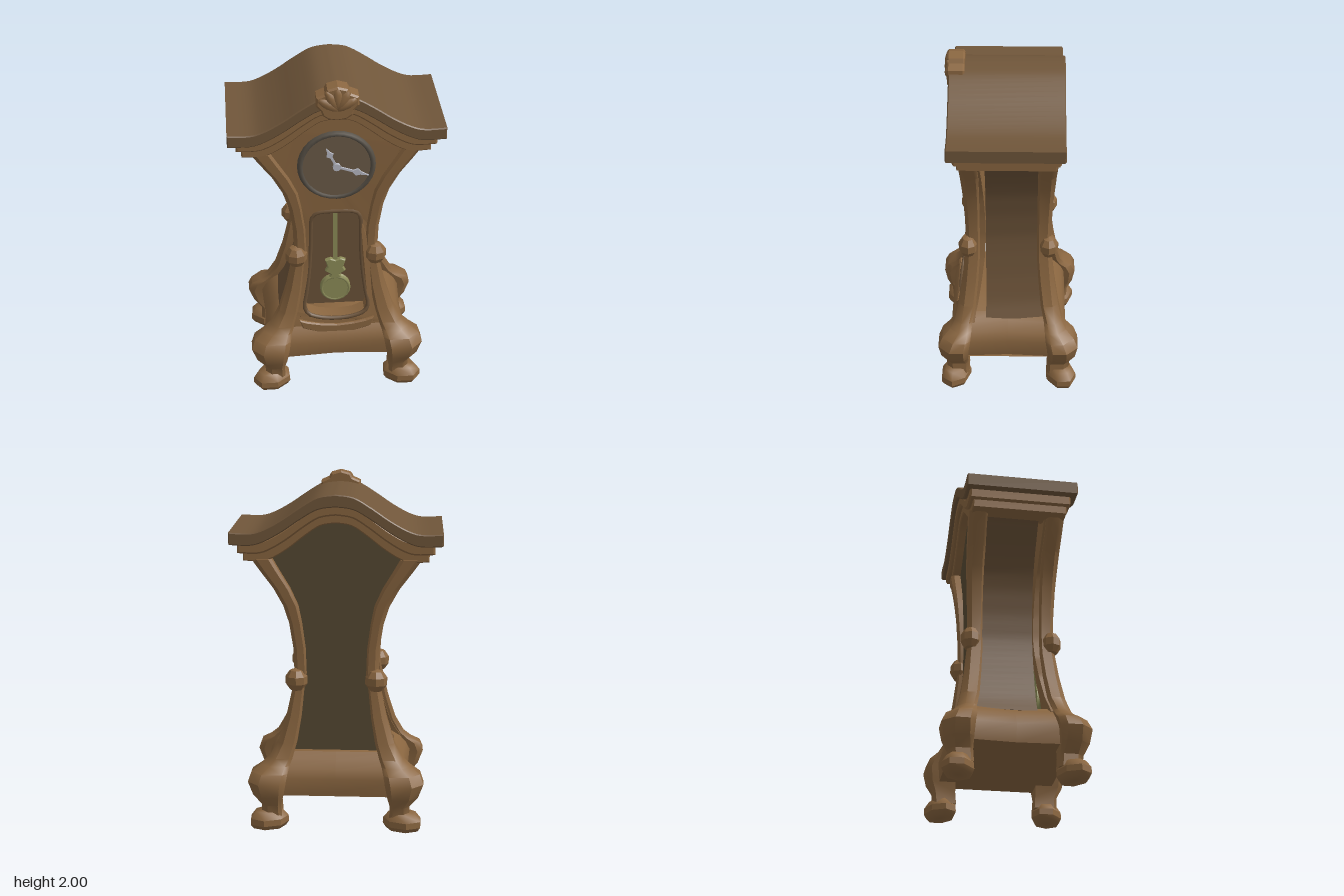
import * as THREE from 'three';
import { toCreasedNormals } from 'three/addons/utils/BufferGeometryUtils.js';

const WOOD = 0x8a6640, ROOF = 0x70563a, PANEL = 0x6b5238, BACK = 0x574a33;
const BRASS = 0x8c8c58, FACE = 0x6a5a48, RIM = 0x575046, STEEL = 0xb8bac4;

// Corner post, bottom to top: y, outer x, inner x, outer z, inner z
const POST = [
  [0.07, 0.43, 0.31, 0.36, 0.23], [0.14, 0.425, 0.315, 0.365, 0.235], [0.2, 0.475, 0.3, 0.395, 0.235],
  [0.28, 0.505, 0.285, 0.41, 0.23], [0.335, 0.485, 0.275, 0.385, 0.22], [0.37, 0.43, 0.265, 0.34, 0.215],
  [0.41, 0.385, 0.25, 0.315, 0.21], [0.5, 0.335, 0.225, 0.292, 0.19], [0.65, 0.288, 0.2, 0.268, 0.175],
  [0.8, 0.255, 0.185, 0.25, 0.165], [0.9, 0.24, 0.17, 0.245, 0.165], [1.05, 0.245, 0.175, 0.248, 0.165],
  [1.2, 0.268, 0.195, 0.255, 0.165], [1.3, 0.3, 0.215, 0.262, 0.165], [1.4, 0.355, 0.26, 0.267, 0.165],
  [1.5, 0.43, 0.32, 0.272, 0.17], [1.57, 0.48, 0.36, 0.275, 0.17],
];

// Column k of the post table at height y
function postAt(y, k) {
  let i = 1;
  while (i < POST.length - 1 && POST[i][0] < y) i++;
  const a = POST[i - 1], b = POST[i];
  return THREE.MathUtils.lerp(a[k], b[k], THREE.MathUtils.clamp((y - a[0]) / (b[0] - a[0]), 0, 1));
}

// Solid skinned over equal-sized rings of [x, y, z], bottom to top
function loft(rings, flip = false) {
  const n = rings[0].length, index = [];
  const tri = (a, b, c) => index.push(...(flip ? [a, c, b] : [a, b, c]));
  for (let r = 0; r < rings.length - 1; r++) for (let j = 0; j < n; j++) {
    const a = r * n + j, b = r * n + (j + 1) % n;
    tri(a, a + n, b);
    tri(b, a + n, b + n);
  }
  const t = (rings.length - 1) * n;
  for (let j = 1; j < n - 1; j++) {
    tri(0, j, j + 1);
    tri(t, t + j + 1, t + j);
  }
  const g = new THREE.BufferGeometry();
  g.setAttribute('position', new THREE.Float32BufferAttribute(rings.flat(2), 3));
  g.setIndex(index);
  return toCreasedNormals(g, 0.7);
}

// Extrude a shape between two depths
function slab(shape, z0, z1, bevel = 0) {
  const g = new THREE.ExtrudeGeometry(shape, {
    depth: z1 - z0 - 2 * bevel, bevelEnabled: bevel > 0, bevelSize: bevel, bevelOffset: -bevel,
    bevelThickness: bevel, bevelSegments: 1, curveSegments: 8,
  });
  return g.translate(0, 0, z0 + bevel);
}

// Symmetric shape from its right half, listed bottom to top
function mirrored(half) {
  const pts = half.map(([x, y]) => new THREE.Vector2(x, y));
  const left = half.filter(([x]) => x > 0.001).reverse().map(([x, y]) => new THREE.Vector2(-x, y));
  return new THREE.Shape([...pts, ...left]);
}

const archCurve = new THREE.SplineCurve([
  [0, 1.94], [0.1, 1.925], [0.2, 1.868], [0.3, 1.8], [0.4, 1.745], [0.48, 1.722], [0.6, 1.725],
].map(([x, y]) => new THREE.Vector2(x, y)));
const archPoints = archCurve.getPoints(24);

// Right half of the roof curve, lowered by drop and squeezed to the given half width
const archHalf = (halfWidth, drop) => archPoints.map((p) => [p.x * halfWidth / 0.6, p.y - drop]);

// Curved roof layer
function archBand(halfWidth, top, bottom) {
  return mirrored([...archHalf(halfWidth, bottom), ...archHalf(halfWidth, top).reverse()]);
}

// Waisted case outline closed by the arch at the top
function caseShape(y0, inset) {
  const half = [];
  for (let i = 0; i <= 30; i++) {
    const y = y0 + (1.57 - y0) * i / 30;
    half.push([postAt(y, 1) - inset, y]);
  }
  half.push(...archHalf(0.47, 0.13).reverse());
  return mirrored(half);
}

export function createModel() {
  const model = new THREE.Group();
  const add = (name, geometry, color, parent = model) => {
    const mesh = new THREE.Mesh(geometry, new THREE.MeshStandardMaterial({ color, roughness: 0.85 }));
    mesh.name = name;
    parent.add(mesh);
    return mesh;
  };

  // Case core with recessed side walls, and the back board
  add('caseCore', toCreasedNormals(slab(caseShape(0.41, 0.055), -0.21, 0.13), 0.6), PANEL);
  add('backPanel', slab(caseShape(0.42, 0.06), -0.218, -0.208), BACK);

  // Front panel with the pendulum window, flaring forward with the posts
  const windowHalf = [[0, 0.445], [0.1, 0.455], [0.165, 0.48], [0.186, 0.52], [0.172, 0.62], [0.156, 0.75],
    [0.146, 0.9], [0.143, 1.05], [0.138, 1.12], [0.115, 1.152], [0.06, 1.162], [0, 1.163]];
  const front = caseShape(0.4, 0.03);
  front.holes.push(new THREE.Path(mirrored(windowHalf).getPoints()));
  const frontGeo = slab(front, 0.135, 0.235);
  const pos = frontGeo.attributes.position;
  for (let i = 0; i < pos.count; i++) {
    pos.setZ(i, pos.getZ(i) + postAt(Math.max(pos.getY(i), 0.42), 3) - 0.25);
  }
  add('frontPanel', toCreasedNormals(frontGeo, 0.6), WOOD);

  // Window rim
  const rimPath = new THREE.CatmullRomCurve3(mirrored(windowHalf).getPoints().map(
    (p) => new THREE.Vector3(p.x, p.y, postAt(p.y, 3) - 0.018)), true);
  add('windowRim', new THREE.TubeGeometry(rimPath, 64, 0.012, 6, true), PANEL);

  // Curved sill under the window
  add('windowSill', slab(mirrored([[0, 0.345], [0.1, 0.355], [0.2, 0.39], [0.22, 0.45], [0.17, 0.435],
    [0.1, 0.42], [0, 0.41]]), 0.24, 0.31, 0.008), WOOD);

  // Apron around the base, tapering into the case
  const apron = [[0.195, 0.42, 0.33], [0.3, 0.43, 0.34], [0.35, 0.405, 0.32], [0.4, 0.36, 0.285], [0.44, 0.3, 0.25]];
  add('apron', loft(apron.map(([y, x, z]) => [
    [x, y, -z], [x - 0.02, y, 0], [x, y, z], [0, y + (y < 0.2 ? 0.022 : 0), z],
    [-x, y, z], [-x + 0.02, y, 0], [-x, y, -z], [0, y + (y < 0.2 ? 0.022 : 0), -z],
  ])), WOOD);

  // Corner posts with scroll legs, knots and feet
  for (const sx of [1, -1]) for (const sz of [1, -1]) {
    const corner = new THREE.Group();
    corner.name = (sz > 0 ? 'front' : 'back') + (sx > 0 ? 'Left' : 'Right') + 'Post';
    model.add(corner);
    const rings = POST.map(([y, xo, xi, zo, zi]) => {
      const c = (xo - xi) * 0.3;
      return [[xo - c / 2, zi], [xo, zi + c / 2], [xo, zo - c], [xo - c, zo], [xi + c / 2, zo], [xi, zo - c / 2], [xi, zi]]
        .map(([x, z]) => [sx * x, y, sz * z]);
    });
    add('post', loft(rings, sx * sz < 0), WOOD, corner);

    const knot = add('knot', toCreasedNormals(new THREE.SphereGeometry(1, 8, 5), 0.3), WOOD, corner);
    knot.scale.set(0.066, 0.07, 0.058);
    knot.position.set(sx * 0.228, 0.865, sz * 0.232);

    const foot = new THREE.Group();
    foot.name = 'foot';
    foot.position.set(sx * 0.388, 0, sz * 0.312);
    foot.rotation.y = -sx * sz * 0.35;
    corner.add(foot);
    const pad = add('footPad', toCreasedNormals(new THREE.LatheGeometry(
      [[0, 0], [0.85, 0], [1, 0.025], [0.98, 0.06], [0.7, 0.1], [0, 0.105]].map(([x, y]) => new THREE.Vector2(x, y)), 7), 0.4),
    WOOD, foot);
    pad.scale.set(0.118, 1, 0.088);
  }

  // Stacked mouldings and roof
  add('lowerMoulding', toCreasedNormals(slab(archBand(0.52, 0.1, 0.165), -0.265, 0.275, 0.006), 0.5), WOOD);
  add('upperMoulding', toCreasedNormals(slab(archBand(0.55, 0.05, 0.12), -0.288, 0.295, 0.01), 0.5), WOOD);
  add('roof', toCreasedNormals(slab(archBand(0.595, 0, 0.07), -0.31, 0.328, 0.006), 0.5), ROOF);

  // Shell crest: back plate with fanned lobes
  const crest = new THREE.Group();
  crest.name = 'crest';
  model.add(crest);
  add('crestPlate', slab(mirrored([[0, 1.8], [0.05, 1.808], [0.08, 1.83], [0.09, 1.86], [0.118, 1.89],
    [0.114, 1.94], [0.068, 1.96], [0.055, 1.985], [0, 2]]), 0.24, 0.338, 0.01), WOOD, crest);
  for (let i = -2; i <= 2; i++) {
    const a = i * 0.52, reach = 0.058 - Math.abs(i) * 0.001;
    const lobe = add('crestLobe', new THREE.SphereGeometry(1, 8, 6), WOOD, crest);
    lobe.scale.set(0.03, 0.068, 0.022);
    lobe.position.set(Math.sin(a) * reach, 1.868 + Math.cos(a) * reach, 0.33);
    lobe.rotation.z = -a;
  }

  // Clock dial
  const clock = new THREE.Group();
  clock.name = 'clock';
  clock.position.set(0, 1.48, 0.262);
  model.add(clock);
  add('dial', new THREE.CylinderGeometry(0.2, 0.2, 0.02, 32).rotateX(Math.PI / 2), FACE, clock);
  add('dialRim', new THREE.TorusGeometry(0.2, 0.018, 6, 32), RIM, clock);
  const hub = add('hub', new THREE.CylinderGeometry(0.022, 0.022, 0.02, 12).rotateX(Math.PI / 2), STEEL, clock);
  hub.position.z = 0.018;
  for (const [name, length, angle] of [['hourHand', 0.135, 0.46], ['minuteHand', 0.19, -1.9]]) {
    const shape = mirrored([[0, -0.02], [0.006, -0.02], [0.006, length * 0.5], [0.022, length * 0.62],
      [0.009, length * 0.74], [0, length]]);
    add(name, slab(shape, 0.012, 0.022), STEEL, clock).rotation.z = angle;
  }

  // Pendulum
  const pendulum = new THREE.Group();
  pendulum.name = 'pendulum';
  pendulum.position.z = 0.19;
  model.add(pendulum);
  add('rod', new THREE.BoxGeometry(0.026, 0.38, 0.016), BRASS, pendulum).position.y = 0.97;
  add('scrollwork', slab(mirrored([[0, 0.67], [0.035, 0.68], [0.025, 0.7], [0.06, 0.725], [0.045, 0.75],
    [0.06, 0.8], [0.03, 0.812], [0, 0.8]]), -0.013, 0.017, 0.005), BRASS, pendulum);
  const bob = add('bob', new THREE.CylinderGeometry(0.075, 0.09, 0.03, 20).rotateX(Math.PI / 2), BRASS, pendulum);
  bob.position.y = 0.6;
  const bobRing = add('bobRing', new THREE.TorusGeometry(0.08, 0.01, 6, 20), BRASS, pendulum);
  bobRing.position.set(0, 0.6, 0.008);

  return model;
}
